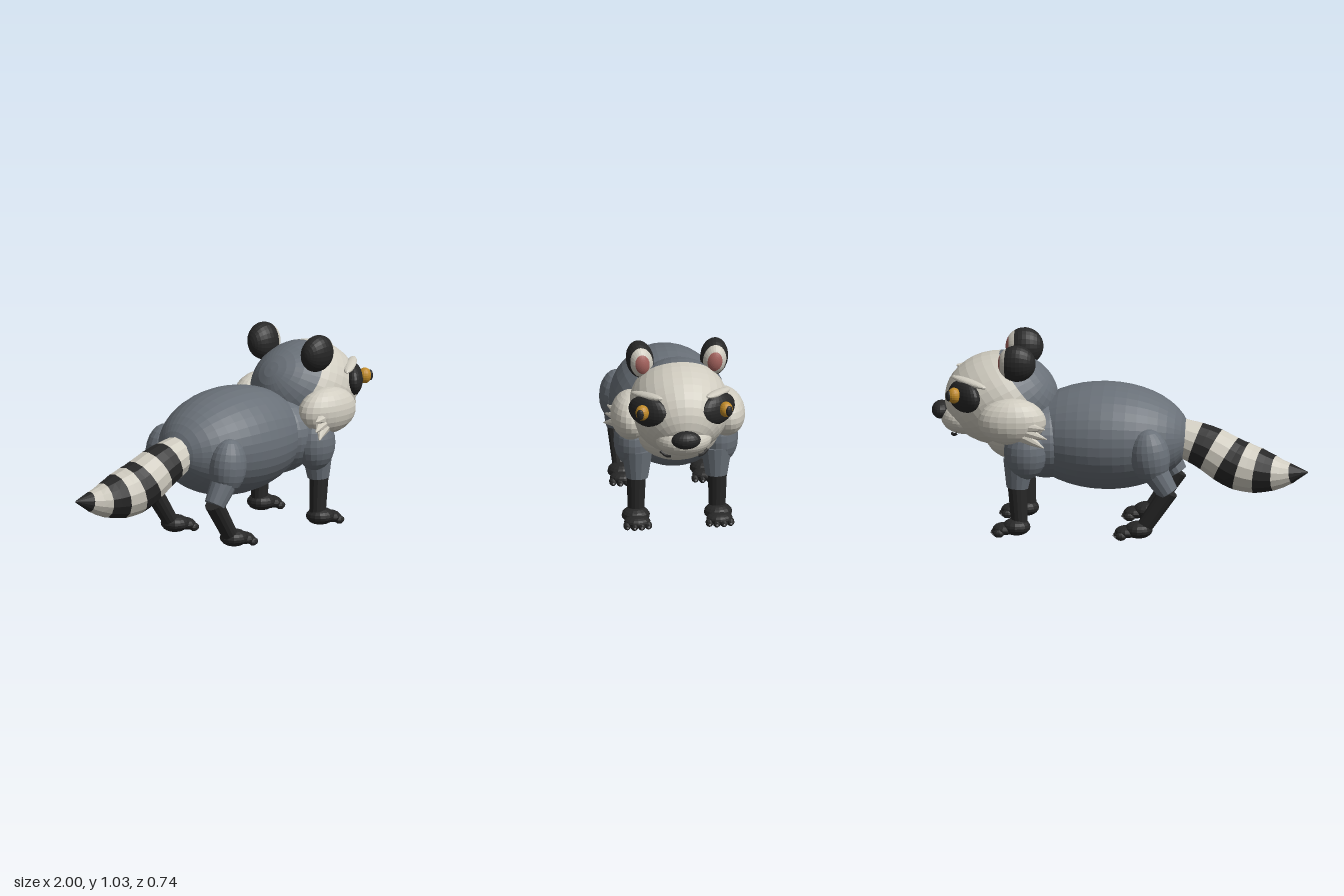
import * as THREE from 'three';

const paint = (name, color) => {
  const m = new THREE.MeshStandardMaterial({ color, flatShading: true });
  m.name = name;
  return m;
};
const V = (x, y, z) => new THREE.Vector3(x, y, z);
const UP = V(0, 1, 0);

export function createModel() {
  const grey = paint('grey fur', 0x697078);
  const cream = paint('cream fur', 0xd0ccc0);
  const black = paint('black fur', 0x272727);
  const amber = paint('amber', 0xc08a28);
  const pink = paint('inner ear pink', 0xa5635e);
  const clawGrey = paint('claw grey', 0x77777a);

  const root = new THREE.Group();
  root.name = 'stripedTailAnimal';

  const add = (name, geo, mat, parent = root) => {
    const m = new THREE.Mesh(geo, mat);
    m.name = name;
    parent.add(m);
    return m;
  };

  // Ellipsoid, or the band of it between two angles measured from an axis
  const blob = (name, mat, c, r, { axis = UP, from = 0, to = Math.PI, rot = [0, 0, 0], seg = 28, parent = root } = {}) => {
    const geo = new THREE.SphereGeometry(1, seg, Math.max(5, Math.round(seg * 0.6 * (to - from) / Math.PI)), 0, Math.PI * 2, from, to - from);
    geo.applyQuaternion(new THREE.Quaternion().setFromUnitVectors(UP, axis.clone().normalize()));
    geo.scale(...r);
    const m = add(name, geo, mat, parent);
    m.position.set(...c);
    m.rotation.set(...rot);
    return m;
  };

  // Tapered limb between two points
  const limb = (name, mat, a, b, ra, rb, { seg = 14, parent = root } = {}) => {
    const p = V(...a), q = V(...b), d = q.clone().sub(p);
    const m = add(name, new THREE.CylinderGeometry(rb, ra, d.length(), seg), mat, parent);
    m.position.copy(p).add(q).multiplyScalar(0.5);
    m.quaternion.setFromUnitVectors(UP, d.normalize());
    return m;
  };

  // Torso and chest
  blob('body', grey, [0.08, 0.51, 0], [0.45, 0.285, 0.305], { axis: V(1, 0, 0), seg: 36 });
  blob('chest', grey, [0.39, 0.5, 0], [0.2, 0.22, 0.27]);
  blob('throatRuff', cream, [0.55, 0.52, 0], [0.17, 0.145, 0.215]);

  // Head: pale face and grey rear cap share one ellipsoid
  const headC = [0.63, 0.7, 0], headR = [0.3, 0.25, 0.265];
  const faceAxis = V(0.832, -0.555, 0), split = 2.12;
  blob('face', cream, headC, headR, { axis: faceAxis, to: split, seg: 32 });
  blob('headCap', grey, headC, headR, { axis: faceAxis, from: split, seg: 32 });
  blob('muzzle', cream, [0.82, 0.59, 0], [0.13, 0.088, 0.15]);
  blob('nose', black, [0.95, 0.627, 0], [0.05, 0.048, 0.078], { seg: 20 });

  // A paw with four toes and claws
  const paw = (parent, x, z) => {
    blob('paw', black, [x, 0.055, z], [0.075, 0.046, 0.075], { seg: 16, parent });
    blob('pawFront', black, [x + 0.065, 0.042, z], [0.06, 0.032, 0.07], { seg: 16, parent });
    for (const o of [-0.056, -0.019, 0.019, 0.056]) {
      const tx = x + 0.108 - Math.abs(o) * 0.35;
      blob('toe', black, [tx, 0.027, z + o], [0.03, 0.022, 0.021], { seg: 10, parent });
      blob('claw', clawGrey, [tx + 0.025, 0.024, z + o], [0.01, 0.007, 0.007], { seg: 8, parent });
    }
  };

  for (const s of [1, -1]) {
    const side = s > 0 ? 'right' : 'left';
    const group = (name) => {
      const g = new THREE.Group();
      g.name = side + name;
      root.add(g);
      return g;
    };

    // Front leg
    const front = group('FrontLeg');
    blob('shoulder', grey, [0.48, 0.46, s * 0.23], [0.115, 0.145, 0.1], { parent: front, seg: 20 });
    limb('upperLeg', grey, [0.515, 0.42, s * 0.21], [0.525, 0.265, s * 0.21], 0.085, 0.058, { parent: front });
    limb('lowerLeg', black, [0.525, 0.28, s * 0.215], [0.512, 0.05, s * 0.215], 0.051, 0.043, { parent: front });
    paw(front, 0.53, s * 0.218);

    // Hind leg
    const hind = group('HindLeg');
    blob('thigh', grey, [-0.18, 0.455, s * 0.235], [0.105, 0.148, 0.095], { rot: [0, 0, -0.12], parent: hind, seg: 20 });
    limb('shank', grey, [-0.19, 0.4, s * 0.235], [-0.275, 0.262, s * 0.23], 0.075, 0.055, { parent: hind });
    limb('lowerLeg', black, [-0.28, 0.27, s * 0.23], [-0.14, 0.06, s * 0.22], 0.05, 0.042, { parent: hind });
    paw(hind, -0.117, s * 0.218);

    // Cheek with swept-back tufts
    blob('cheek', cream, [0.55, 0.63, s * 0.25], [0.18, 0.125, 0.105], { rot: [0, s * -0.08, 0], seg: 22 });
    [[0.365, 0.615, 0.35], [0.355, 0.565, 0.36], [0.37, 0.52, 0.37]].forEach(([x, y, z], i) =>
      limb('cheekTuft', cream, [0.48, 0.61 - i * 0.025, s * 0.29], [x, y, s * z], 0.04, 0.003, { seg: 8 }));

    // Ear: black back, pale front rim, pink centre
    const ear = group('Ear');
    ear.position.set(0.53, 0.932, s * 0.197);
    ear.rotation.x = s * 0.15;
    const earR = [0.1, 0.1, 0.073], axis = V(1, 0, s * -0.08);
    const pinkEdge = 0.56, rimEdge = 0.98;
    blob('innerEar', pink, [0, 0, 0], earR, { axis, to: pinkEdge, parent: ear, seg: 24 });
    blob('earRim', cream, [0, 0, 0], earR, { axis, from: pinkEdge, to: rimEdge, parent: ear, seg: 24 });
    blob('earBack', black, [0, 0, 0], earR, { axis, from: rimEdge, parent: ear, seg: 24 });

    // Eye mask, eye and brow
    const turn = s * 0.87;
    blob('eyeMask', black, [0.81, 0.743, s * 0.18], [0.125, 0.086, 0.055], { rot: [0, turn, 0], seg: 24 });
    blob('eye', amber, [0.86, 0.757, s * 0.222], [0.036, 0.042, 0.036], { seg: 18 });
    blob('pupil', black, [0.888, 0.757, s * 0.236], [0.014, 0.029, 0.02], { rot: [0, -turn * 0.6, 0], seg: 14 });
    blob('brow', cream, [0.785, 0.823, s * 0.19], [0.122, 0.018, 0.03], { rot: [0, s * 0.62, 0.12], seg: 16 });

    // Mouth corner
    const smile = new THREE.CatmullRomCurve3([
      V(0.885, 0.515, s * 0.07), V(0.872, 0.513, s * 0.095), V(0.85, 0.532, s * 0.125)]);
    add('mouthCorner', new THREE.TubeGeometry(smile, 8, 0.008, 6), black);
  }

  // Tail: alternating rings along a drooping curve
  const path = new THREE.CatmullRomCurve3([
    V(-0.31, 0.51, 0.01), V(-0.46, 0.455, 0), V(-0.63, 0.368, -0.022), V(-0.82, 0.337, -0.05), V(-1, 0.355, -0.085)]);
  const radii = [0.1, 0.112, 0.122, 0.13, 0.133, 0.122, 0.093, 0.053, 0.003];
  const bands = radii.length - 1, sides = 14;
  const ring = (t) => {
    const i = Math.min(bands - 1, Math.floor(t * bands)), f = t * bands - i;
    const r = THREE.MathUtils.lerp(radii[i], radii[i + 1], f);
    const c = path.getPointAt(t), dir = path.getTangentAt(t);
    const u = V(0, 0, 1).cross(dir).normalize(), w = dir.clone().cross(u);
    return Array.from({ length: sides }, (_, k) => {
      const a = k / sides * Math.PI * 2;
      return c.clone().addScaledVector(u, Math.cos(a) * r).addScaledVector(w, Math.sin(a) * r);
    });
  };
  for (let b = 0; b < bands; b++) {
    const pts = [], index = [];
    for (let j = 0; j <= 2; j++) pts.push(...ring((b + j / 2) / bands));
    for (let j = 0; j < 2; j++) for (let k = 0; k < sides; k++) {
      const p = j * sides + k, q = j * sides + (k + 1) % sides;
      index.push(p, q, p + sides, q, q + sides, p + sides);
    }
    const geo = new THREE.BufferGeometry().setFromPoints(pts);
    geo.setIndex(index);
    geo.computeVertexNormals();
    add('tailRing', geo, b % 2 ? black : cream);
  }

  return root;
}
